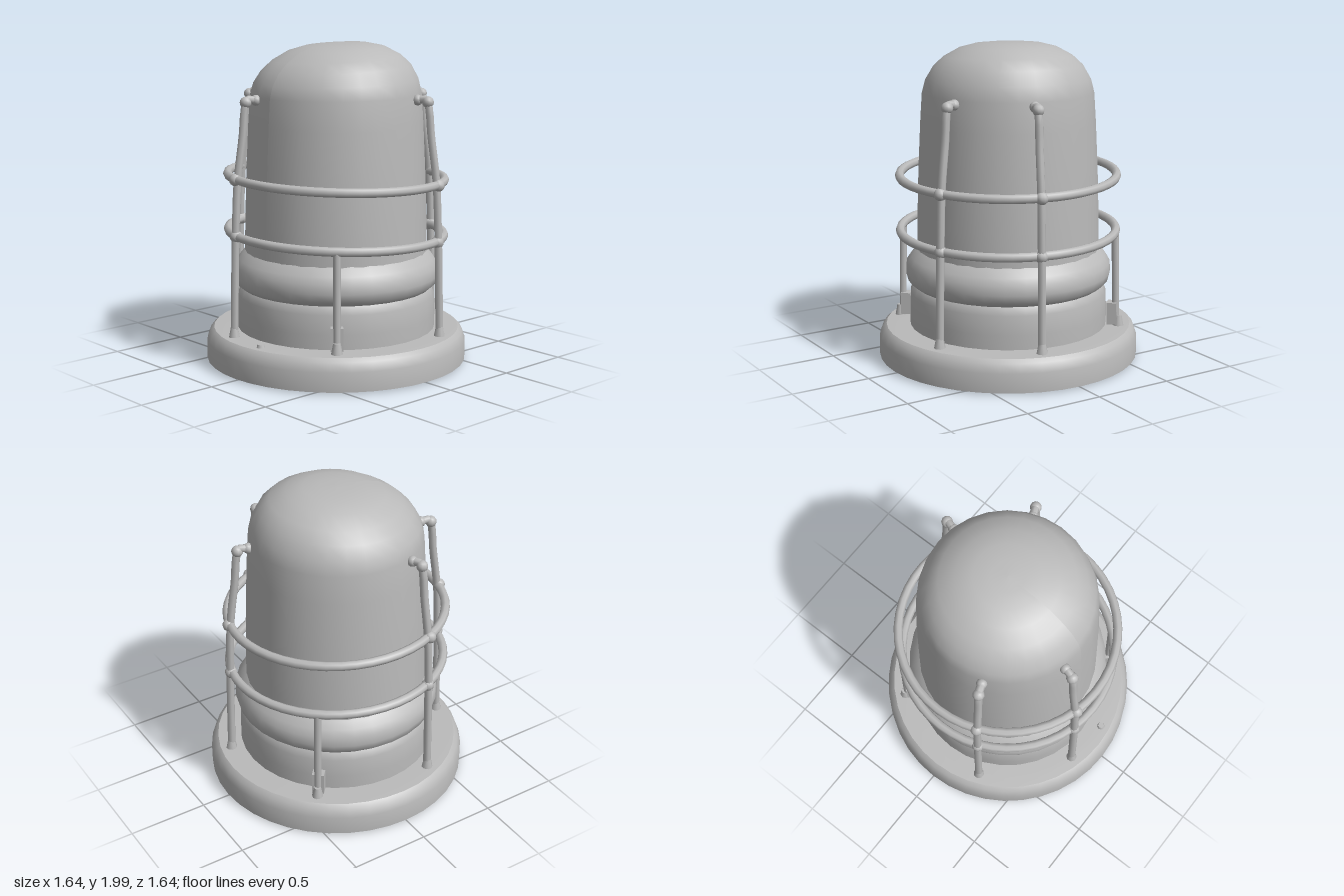
import * as THREE from 'three';
import { toCreasedNormals } from 'three/addons/utils/BufferGeometryUtils.js';

const castMetal = new THREE.MeshStandardMaterial({ color: 0xbababa });
castMetal.name = 'castGrey';

const V = (x, y, z) => new THREE.Vector3(x, y, z);

export function createModel() {
  const model = new THREE.Group();
  model.name = 'cagedLamp';

  const add = (name, geometry, parent = model) => {
    const mesh = new THREE.Mesh(geometry, castMetal);
    mesh.name = name;
    parent.add(mesh);
    return mesh;
  };
  const lathe = (points, sides) =>
    new THREE.LatheGeometry(points.map(([r, y]) => new THREE.Vector2(r, y)), sides);

  // Round base plate with a bevelled rim
  add('basePlate', toCreasedNormals(lathe([
    [0, 0.01], [0.82, 0.01], [0.82, 0.13], [0.8, 0.185], [0.775, 0.207], [0.7, 0.21], [0, 0.21],
  ], 40), 0.6));

  // Neck and bulging collar that hold the globe
  add('neck', lathe([[0.625, 0.2], [0.625, 0.3], [0.62, 0.42], [0.595, 0.475], [0.56, 0.5]], 32));
  add('collar', lathe([
    [0.54, 0.46], [0.6, 0.47], [0.635, 0.5], [0.648, 0.55], [0.642, 0.61], [0.615, 0.65],
    [0.585, 0.69], [0.55, 0.72],
  ], 32));

  // Domed globe, its crown leaning slightly
  const globe = lathe([
    [0.575, 0.66], [0.57, 0.9], [0.56, 1.2], [0.545, 1.5], [0.533, 1.68], [0.512, 1.76],
    [0.465, 1.84], [0.4, 1.9], [0.3, 1.955], [0.2, 1.98], [0.1, 1.988], [0, 1.99],
  ], 28);
  const p = globe.attributes.position;
  for (let i = 0; i < p.count; i++) {
    const lean = THREE.MathUtils.smoothstep(p.getY(i), 1.6, 1.95);
    p.setY(i, p.getY(i) + lean * (0.02 * p.getX(i) - 0.05 * p.getZ(i)));
  }
  globe.computeVertexNormals();
  add('globe', globe);

  // Two slightly tilted guard rings
  const ringHeight = (y, x, z) => y - 0.018 * x + 0.025 * z;
  [['upperRing', 1.165], ['lowerRing', 0.815]].forEach(([name, y]) => {
    const points = [];
    for (let i = 0; i < 24; i++) {
      const a = (i / 24) * Math.PI * 2;
      const x = 0.678 * Math.sin(a), z = 0.678 * Math.cos(a);
      points.push(V(x, ringHeight(y, x, z), z));
    }
    add(name, new THREE.TubeGeometry(new THREE.CatmullRomCurve3(points, true), 48, 0.028, 8, true));
  });

  // A wire in a radial plane (local +z is outward), turned to its place
  const radialGroup = (name, x, z) => {
    const group = new THREE.Group();
    group.name = name;
    group.rotation.y = Math.atan2(x, z);
    model.add(group);
    return group;
  };
  const wire = (name, points, radius, parent) => {
    const path = new THREE.CatmullRomCurve3(points.map(([r, y]) => V(0, y, r)), false, 'centripetal');
    add(name, new THREE.TubeGeometry(path, 28, radius, 8), parent);
  };
  const ball = (name, r, y, radius, parent) =>
    add(name, new THREE.SphereGeometry(radius, 10, 8), parent).position.set(0, y, r);
  const wireFoot = (parent) =>
    add('wireFoot', new THREE.CylinderGeometry(0.022, 0.036, 0.07, 8), parent).position.set(0, 0.24, 0.705);

  // Four tall guard wires hooked in towards the globe
  [[0.19, -0.68], [0.66, -0.27], [-0.66, 0.27], [-0.18, 0.68]].forEach(([x, z]) => {
    const group = radialGroup('guardWire', x, z);
    wire('wire', [[0.705, 0.2], [0.69, 0.8], [0.672, 1.17], [0.635, 1.45], [0.618, 1.62],
      [0.6, 1.665], [0.54, 1.66]], 0.025, group);
    wireFoot(group);
    ball('hookBend', 0.612, 1.65, 0.036, group);
    ball('hookTip', 0.545, 1.66, 0.033, group);
    [1.165, 0.815].forEach((y) => ball('joint', 0.685, ringHeight(y, x, z), 0.039, group));
  });

  // Two short wires with clips, reaching only the lower ring
  [[0.5, 0.45], [-0.5, -0.45]].forEach(([x, z]) => {
    const group = radialGroup('shortWire', x, z);
    wire('wire', [[0.69, 0.2], [0.685, 0.5], [0.678, ringHeight(0.815, x, z)]], 0.023, group);
    wireFoot(group);
    add('clip', new THREE.BoxGeometry(0.075, 0.14, 0.06), group).position.set(0, 0.29, 0.665);
  });

  // Small studs under the plate and one on top of it
  [[0.67, -0.24], [0.48, 0.48], [0.1, 0.71], [-0.47, -0.49], [-0.62, -0.33]].forEach(([x, z]) => {
    add('stud', new THREE.CylinderGeometry(0.022, 0.022, 0.02, 8)).position.set(x, 0.01, z);
  });
  add('topStud', new THREE.CylinderGeometry(0.02, 0.028, 0.025, 8)).position.set(0.11, 0.215, 0.71);

  return model;
}
